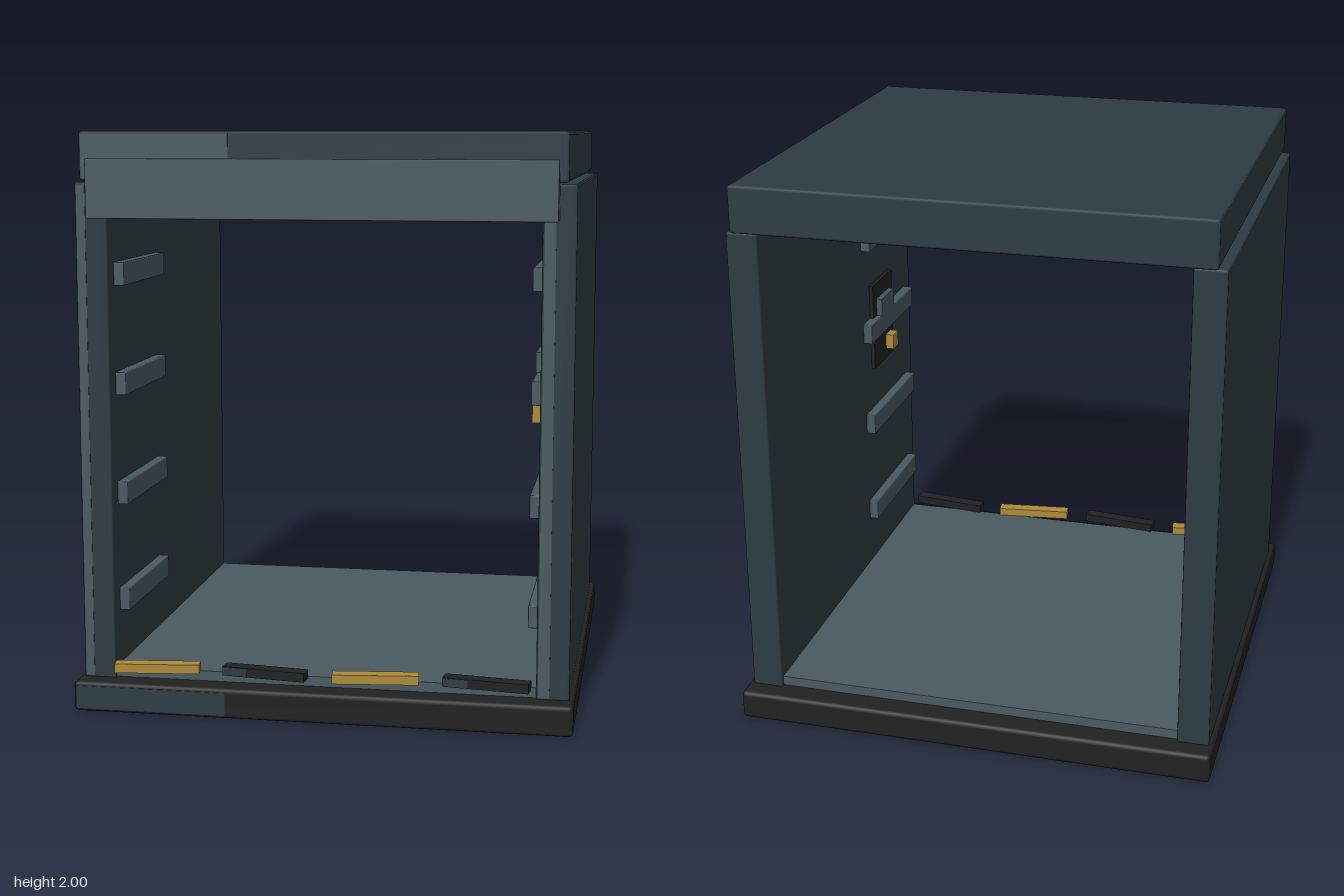
import * as THREE from 'three';
import { RoundedBoxGeometry } from 'three/addons/geometries/RoundedBoxGeometry.js';

const mat = (name, color) => {
  const m = new THREE.MeshStandardMaterial({ color });
  m.name = name;
  return m;
};

export function createModel() {
  const group = new THREE.Group();
  const slate = mat('dark slate', 0x2d3c43);
  const light = mat('light slate', 0x4a5a62);
  const black = mat('black', 0x212121);
  const amber = mat('amber', 0xae8b3a);

  // Box from its minimum and maximum corners, with an optional small bevel
  const block = (name, material, [x0, y0, z0], [x1, y1, z1], bevel = 0, parent = group) => {
    const size = [x1 - x0, y1 - y0, z1 - z0];
    const geometry = bevel
      ? new RoundedBoxGeometry(...size, 1, bevel)
      : new THREE.BoxGeometry(...size);
    const mesh = new THREE.Mesh(geometry, material);
    mesh.name = name;
    mesh.position.set((x0 + x1) / 2, (y0 + y1) / 2, (z0 + z1) / 2);
    parent.add(mesh);
    return mesh;
  };

  // Base, floor, roof and front header
  block('base', black, [-0.865, 0, -0.865], [0.865, 0.105, 0.865], 0.014);
  block('floor', light, [-0.735, 0.1, -0.775], [0.735, 0.14, 0.775]);
  block('roof', slate, [-0.82, 1.835, -0.82], [0.82, 2, 0.82], 0.01);
  block('header', light, [-0.79, 1.71, 0.785], [0.79, 1.91, 0.85], 0.004);

  // Side walls and shelf rails
  for (const side of [-1, 1]) {
    const span = (a, b) => (side > 0 ? [a, b] : [-b, -a]);
    const [w0, w1] = span(0.735, 0.847);
    block('sideWall', slate, [w0, 0.1, -0.79], [w1, 1.83, 0.79], 0.008);
    const [r0, r1] = span(0.7, 0.74);
    for (const y of [0.33, 0.71, 1.095, 1.475]) {
      block('shelfRail', light, [r0, y, 0.21], [r1, y + 0.08, 0.72], 0.004);
    }
  }

  // Painted patches on the front edges
  block('roofPatch', light, [-0.812, 1.842, 0.818], [-0.305, 1.992, 0.822]);
  block('basePatch', slate, [-0.853, 0.012, 0.863], [-0.325, 0.093, 0.867]);
  block('leftEdgePatch', light, [-0.84, 0.11, 0.788], [-0.81, 1.822, 0.792]);
  block('rightEdgePatch', light, [0.742, 0.11, 0.788], [0.78, 1.822, 0.792]);

  // Threshold strips, alternately turned
  [-0.577, -0.195, 0.19, 0.57].forEach((x, i) => {
    const strip = new THREE.Group();
    strip.name = 'thresholdStrip';
    strip.position.set(x, 0.155, 0.805);
    strip.rotation.y = i % 2 ? -0.12 : 0.12;
    block('stripBody', i % 2 ? black : amber,
      [-0.148, -0.016, -0.025], [0.148, 0.016, 0.025], 0, strip);
    if (i % 2) {
      block('stripPatch', slate, [-0.146, -0.014, 0.024], [-0.06, 0.014, 0.027], 0, strip);
    }
    group.add(strip);
  });

  // Control panel on the inner wall
  const panel = new THREE.Group();
  panel.name = 'controlPanel';
  block('panelPlate', black, [0.72, 0.96, 0.29], [0.74, 1.31, 0.52], 0, panel);
  block('panelDisplay', light, [0.698, 1.17, 0.33], [0.722, 1.245, 0.48], 0, panel);
  block('panelButton', amber, [0.688, 1.0, 0.43], [0.722, 1.06, 0.49], 0, panel);
  group.add(panel);

  return group;
}
